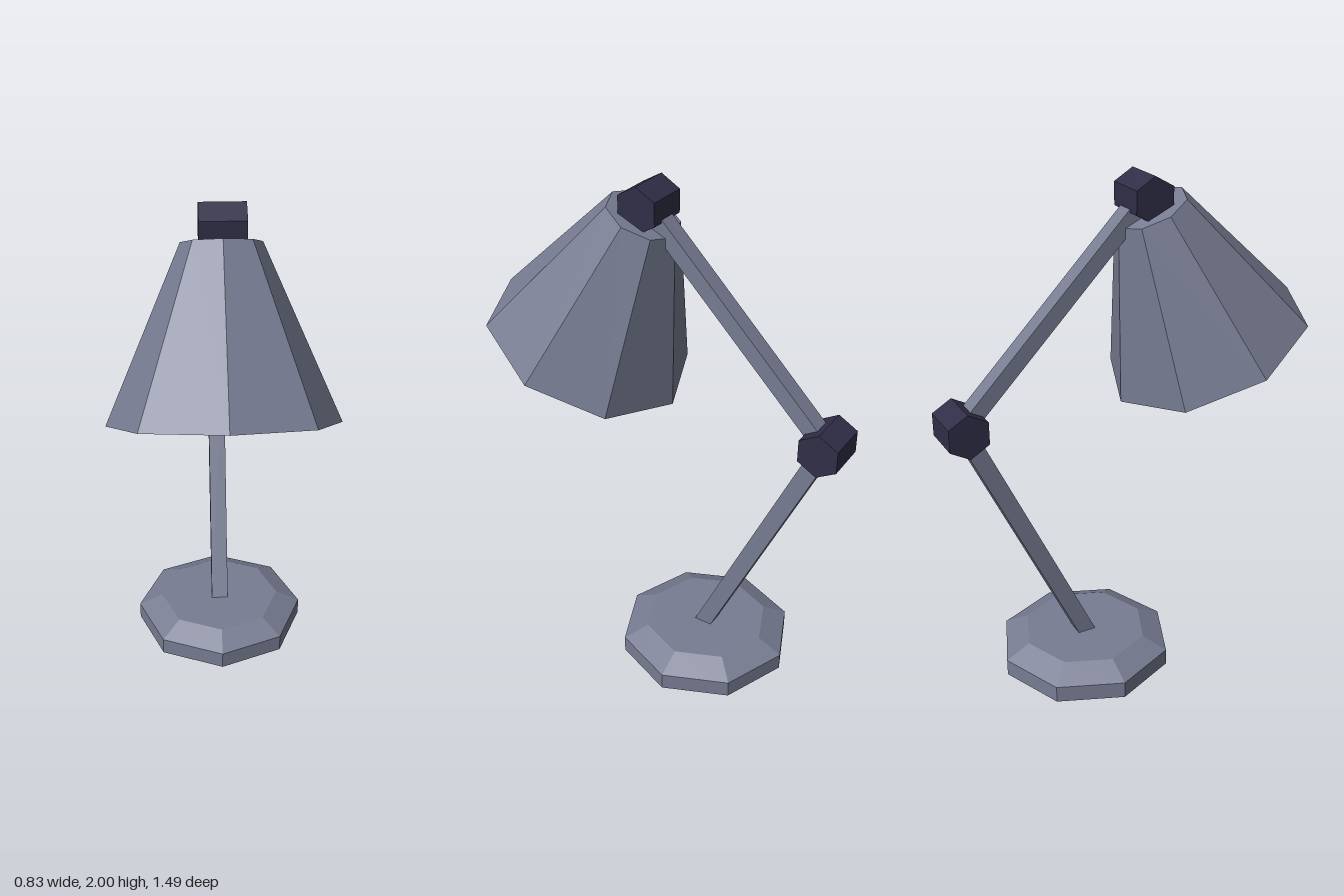
import * as THREE from 'three';

const mat = (name, color) => {
  const m = new THREE.MeshStandardMaterial({ color, flatShading: true });
  m.name = name;
  return m;
};

export function createModel() {
  const model = new THREE.Group();
  model.name = 'deskLamp';
  const grey = mat('greyMetal', 0x777c92);
  const dark = mat('darkJoint', 0x302e47);
  const yellow = mat('yellowLining', 0xd2af42);

  const add = (name, geometry, material, parent = model) => {
    const mesh = new THREE.Mesh(geometry, material);
    mesh.name = name;
    parent.add(mesh);
    return mesh;
  };
  // eight-sided turned form
  const turned = (points) =>
    new THREE.LatheGeometry(points.map(([r, y]) => new THREE.Vector2(r, y)), 8);

  // Base: octagonal foot with a bevelled top
  add('base', turned([[0, 0], [0.355, 0], [0.355, 0.07], [0.255, 0.12], [0, 0.12]]), grey)
    .position.set(0.004, 0, -0.192);

  // Arms: square bars between pivots given as [y, z]
  const foot = [0.07, -0.174], elbow = [1.157, -0.673], head = [1.915, 0.079];
  const arm = (name, a, b, depth) => {
    const dy = b[0] - a[0], dz = b[1] - a[1];
    const bar = add(name, new THREE.BoxGeometry(0.07, Math.hypot(dy, dz), depth), grey);
    bar.position.set(0.005, (a[0] + b[0]) / 2, (a[1] + b[1]) / 2);
    bar.rotation.x = Math.atan2(dz, dy);
  };
  arm('lowerArm', foot, elbow, 0.068);
  arm('upperArm', elbow, head, 0.062);

  // Joints: hexagonal prisms lying across the lamp
  const hex = new THREE.CylinderGeometry(0.088, 0.088, 0.168, 6, 1, false, Math.PI / 6);
  hex.rotateZ(Math.PI / 2);
  add('elbowJoint', hex, dark).position.set(0.004, ...elbow);
  add('headJoint', hex, dark).position.set(0.004, ...head);

  // Shade: tilted octagonal cone with a rim and a yellow lining
  const shade = new THREE.Group();
  shade.name = 'shade';
  shade.position.set(0, 1.292, 0.362);
  shade.rotation.x = -0.42;
  model.add(shade);
  add('shadeShell', turned([[0.383, 0], [0.417, 0], [0.144, 0.632], [0, 0.632]]), grey, shade);
  add('shadeLining', turned([[0, 0.6], [0.124, 0.6], [0.383, 0]]), yellow, shade);

  return model;
}
